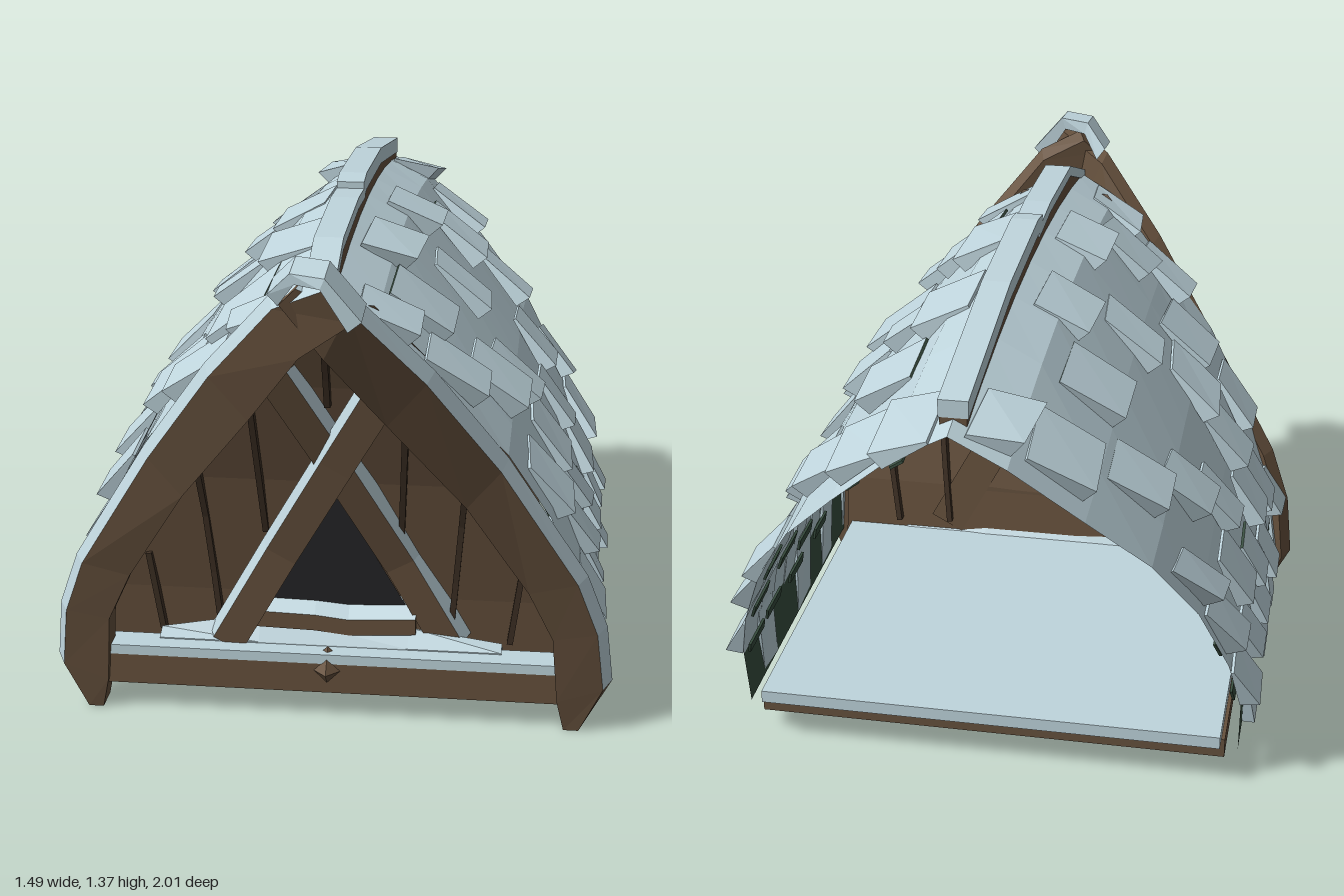
import * as THREE from 'three';

const mat = (name, color, side = THREE.FrontSide) => {
  const m = new THREE.MeshStandardMaterial({ color, side });
  m.name = name;
  return m;
};
const snow = mat('snow', 0xbfd5dd, THREE.DoubleSide);
const wood = mat('wood', 0x66513d, THREE.DoubleSide);
const gapWood = mat('dark wood', 0x3f3125);
const green = mat('dark green shingle', 0x384e3f, THREE.DoubleSide);
const dark = mat('dark opening', 0x29292b, THREE.DoubleSide);

const V = (x, y, z) => new THREE.Vector3(x, y, z);
const { lerp, clamp } = THREE.MathUtils;
let seed = 7;
const rand = () => (seed = (seed * 16807) % 2147483647) / 2147483647;

// Linear interpolation in a small table of [key, value...] rows
function at(table, k, col = 1) {
  let i = 1;
  while (i < table.length - 1 && k > table[i][0]) i++;
  const [a, b] = [table[i - 1], table[i]];
  return lerp(a[col], b[col], clamp((k - a[0]) / (b[0] - a[0]), 0, 1));
}

// Flat shaded mesh from polygons { p: [corners], m: material }
function polyMesh(name, polys) {
  const pos = [], mats = [...new Set(polys.map(q => q.m))];
  const geo = new THREE.BufferGeometry();
  mats.forEach((m, mi) => {
    const start = pos.length / 3;
    for (const { p } of polys.filter(q => q.m === m))
      for (let i = 1; i < p.length - 1; i++)
        for (const v of [p[0], p[i], p[i + 1]]) pos.push(v.x, v.y, v.z);
    geo.addGroup(start, pos.length / 3 - start, mi);
  });
  geo.setAttribute('position', new THREE.Float32BufferAttribute(pos, 3));
  geo.computeVertexNormals();
  const mesh = new THREE.Mesh(geo, mats);
  mesh.name = name;
  return mesh;
}

// Solid through loops of corners; sides[i] colours the face from corner i to i+1
function loft(name, loops, sides, cap) {
  const polys = [];
  const add = (p, m, c) => {
    const n = V(0, 0, 0).crossVectors(p[2].clone().sub(p[0]), p[3].clone().sub(p[1]));
    const mid = p.reduce((s, v) => s.add(v), V(0, 0, 0)).divideScalar(p.length);
    polys.push({ p: n.dot(mid.sub(c)) < 0 ? [...p].reverse() : p, m });
  };
  for (let k = 0; k < loops.length - 1; k++) {
    const [A, B] = [loops[k], loops[k + 1]], all = [...A, ...B];
    const c = all.reduce((s, v) => s.add(v), V(0, 0, 0)).divideScalar(all.length);
    A.forEach((_, i) => {
      const j = (i + 1) % A.length;
      add([A[i], A[j], B[j], B[i]], sides[i], c);
    });
    if (k === 0) add(A, cap, c);
    if (k === loops.length - 2) add(B, cap, c);
  }
  return polyMesh(name, polys);
}

// Box between two corners in one material
function bar(name, x0, x1, y0, y1, z0, z1, m) {
  const loop = x => [V(x, y0, z0), V(x, y0, z1), V(x, y1, z1), V(x, y1, z0)];
  return loft(name, [loop(x0), loop(x1)], [m, m, m, m], m);
}

// Roof cross-section from ridge to eave, and front and back edges by height
const profile = [[0, 0, 1.3], [1, 0.14, 1.22], [2, 0.31, 1.025], [3, 0.46, 0.835],
  [4, 0.57, 0.635], [5, 0.645, 0.43], [6, 0.678, 0.27], [7, 0.675, 0.1]];
const frontEdge = [[0.1, 0.5], [0.5, 0.54], [0.95, 0.68], [1.3, 0.82]];
const backEdge = [[0.1, -0.53], [0.25, -0.55], [0.65, -0.71], [0.9, -0.84], [1.17, -1]];

function roofPoint(s, t, f, lift = 0) {
  const x = at(profile, t, 1), y = at(profile, t, 2);
  const a = Math.max(0, t - 0.3), b = Math.min(7, t + 0.3);
  const dx = at(profile, b, 1) - at(profile, a, 1), dy = at(profile, b, 2) - at(profile, a, 2);
  const len = Math.hypot(dx, dy);
  const z = lerp(at(backEdge, y), at(frontEdge, y), f);
  return V(s * (x - dy / len * lift), y + dx / len * lift - 0.1 * z * z * y / 1.3, z);
}

// Slightly uneven snowy slope with a bare green band above the eave
function roofSide(s) {
  const polys = [], N = 8;
  const corner = (t, i) => roofPoint(s, t, i / N,
    t > 0 && t < 6 && i > 0 && i < N ? 0.008 * Math.sin(i * 12.9 + t * 7.3 + s) : 0);
  for (let t = 0; t < 7; t++)
    for (let i = 0; i < N; i++) {
      const p = [corner(t, i), corner(t + 1, i), corner(t + 1, i + 1), corner(t, i + 1)];
      polys.push({ p: s > 0 ? p : p.reverse(), m: t === 6 ? green : snow });
    }
  return polyMesh('roofSlope', polys);
}

// Tilted shingle, sunk into the slope above and standing proud at its lower edge
function shingle(s, t0, t1, f0, f1, lift, edge) {
  const skew = (rand() - 0.5) * 0.03;
  const loop = (t, h, k) => [roofPoint(s, t - skew * 4, f0 + k, 0), roofPoint(s, t + skew * 4, f1 + k, 0),
    roofPoint(s, t + skew * 4, f1 + k, h), roofPoint(s, t - skew * 4, f0 + k, h)];
  return loft('shingle', [loop(t0, 0.008, 0), loop(t1, lift, skew)], [snow, snow, snow, snow], edge);
}

// Green underside strip on the inside of the roof, below a shingle
function innerStrip(s, t, f0, f1) {
  const loop = k => [[f0, -0.012], [f1, -0.012], [f1, -0.019], [f0, -0.019]].map(([f, h]) => roofPoint(s, k, f, h));
  return loft('shingleUnderside', [loop(t - 0.22), loop(t)], [green, green, green, green], green);
}

// Lower edges as [z, y, width, 1 for a bare green edge]
const layout = [[0.4, 1.06, 0.2, 1], [0.62, 1.12, 0.15, 0], [0.2, 1.19, 0.25, 0], [-0.24, 1.16, 0.22, 0],
  [-0.43, 1.02, 0.2, 1], [0.54, 0.94, 0.16, 0], [-0.03, 0.99, 0.14, 0], [0.32, 0.84, 0.22, 0],
  [0.14, 0.79, 0.17, 0], [-0.58, 0.85, 0.17, 1], [-0.37, 0.72, 0.17, 0], [0.42, 0.61, 0.16, 0],
  [0.13, 0.62, 0.17, 0], [-0.2, 0.6, 0.13, 0], [-0.62, 0.6, 0.12, 0], [0.28, 0.42, 0.14, 0],
  [0.1, 0.47, 0.14, 0], [-0.05, 0.36, 0.13, 1], [-0.3, 0.45, 0.15, 0], [-0.57, 0.45, 0.13, 0],
  [0.42, 0.32, 0.15, 0], [-0.1, 0.275, 0.13, 0], [-0.34, 0.3, 0.13, 0], [0.16, 0.275, 0.12, 0],
  [-0.54, 0.29, 0.13, 0], [-0.78, 1.01, 0.2, 0], [-0.9, 1.15, 0.2, 0]];

function shingles(s) {
  const g = new THREE.Group();
  g.name = 'shingles';
  for (const [z, y, w, bare] of layout) {
    const y0 = y + 0.1 * z * z * y / 1.3 - 0.01, t = at(profile.map(p => [-p[2], p[0]]), -y0);
    const zb = at(backEdge, y0), span = at(frontEdge, y0) - zb;
    const f0 = clamp((z + (s < 0 ? 0.03 : 0) - w / 2 - zb) / span, 0, 1 - w / span), f1 = f0 + w / span;
    g.add(shingle(s, Math.max(0.2, t - 0.75), t, f0, f1, 0.04 + rand() * 0.015, bare ? green : snow));
    g.add(innerStrip(s, t, f0, f1));
  }
  // Long shingles hanging over the eave
  for (const [f0, f1] of [[0.12, 0.24], [0.47, 0.6], [0.73, 0.83], [0.95, 1]])
    g.add(shingle(s, 5.6, 6.95, f0, f1, 0.035, snow));
  return g;
}

// Curved board along the gable with a snowy bevel and a bare foot: [outer x, outer y, inner x, inner y, front z]
function bargeBoard(s) {
  const g = new THREE.Group();
  g.name = 'bargeBoard';
  const rows = [[0.66, 0, 0.62, 0, 0.55], [0.72, 0.13, 0.6, 0.09, 0.565], [0.7, 0.3, 0.585, 0.28, 0.59],
    [0.645, 0.45, 0.52, 0.42, 0.615], [0.445, 0.78, 0.36, 0.68, 0.69], [0.265, 1.04, 0.17, 0.93, 0.8],
    [0.09, 1.25, 0.03, 1.13, 0.91],
    s < 0 ? [-0.04, 1.32, -0.11, 1.245, 0.985] : [-0.03, 1.31, -0.07, 1.27, 0.94]];
  const loops = rows.map(([xo, yo, xi, yi, z]) => {
    const out = V(xo - xi, yo - yi, 0).setLength(yo > 0 ? 0.026 : 0.005);
    return [V(s * xo, yo, z), V(s * (xo + out.x), yo + out.y, z - 0.05), V(s * xo, yo, z - 0.09),
      V(s * xi, yi, z - 0.08), V(s * xi, yi, z)];
  });
  g.add(loft('boardFoot', loops.slice(0, 2), [wood, wood, wood, wood, wood], wood));
  g.add(loft('board', loops.slice(1), [snow, wood, wood, wood, wood], wood));
  return g;
}

// Snow lying over the crossed board ends
function apexCap() {
  const rows = [[-0.1, 1.3, 0.92], [-0.04, 1.365, 0.965], [0.045, 1.365, 1], [0.13, 1.265, 1]];
  return loft('apexSnow', rows.map(([x, y, z]) => [V(x, y, z - 0.11), V(x, y - 0.012, z),
    V(x * 0.75, y - 0.038, z), V(x * 0.75, y - 0.035, z - 0.11)]), [snow, snow, snow, snow], snow);
}

const wallZ = y => at(frontEdge, y) - 0.09;
const wallX = y => at(profile.map(p => [-p[2], p[1]]), -y) - 0.03;

// Straight board leaning with the gable wall; the bevelled edge on the left of travel is snowy
function brace(name, x0, y0, x1, y1, w, off, bevel, edge, face) {
  const n = V(y0 - y1, x1 - x0, 0).normalize();
  const loops = [0, 0.35, 0.7, 1].map(k => {
    const x = lerp(x0, x1, k), y = lerp(y0, y1, k), z = wallZ(y) + off;
    const p = (d, dz) => V(x + n.x * d, y + n.y * d, z - dz);
    return [p(w / 2, 0), p(w / 2 + bevel, 0.05), p(-w / 2, 0.05), p(-w / 2, 0)];
  });
  return loft(name, loops, [edge, face, face, face], face);
}

function gable() {
  const g = new THREE.Group();
  g.name = 'gable';
  const ys = [0.12, 0.31, 0.66, 0.95, 1.2], polys = [];
  for (let i = 0; i < 4; i++) {
    const [a, b] = [ys[i], ys[i + 1]];
    polys.push({ m: wood, p: [V(-wallX(a), a, wallZ(a)), V(wallX(a), a, wallZ(a)),
      V(wallX(b), b, wallZ(b)), V(-wallX(b), b, wallZ(b))] });
  }
  g.add(polyMesh('gableWall', polys));
  const front = wallZ(0.31) + 0.018;
  g.add(polyMesh('opening', [{ m: dark, p: [V(-0.2, 0.28, front), V(0.2, 0.28, front), V(0, 0.66, wallZ(0.66) + 0.018)] }]));
  // Gaps between the wall planks
  const gap = (...line) => g.add(brace('plankGap', ...line, 0.016, 0.025, 0, gapWood, gapWood));
  gap(0, 0.9, 0, 1.13);
  for (const s of [-1, 1])
    for (const [x0, y0, x1, y1] of [[0.18, 0.5, 0.2, 0.92], [0.31, 0.2, 0.35, 0.69], [0.47, 0.19, 0.5, 0.42]])
      gap(s * x0, y0, s * x1, y1);
  // Crossed braces
  g.add(brace('frontBrace', -0.285, 0.18, 0.15, 0.97, 0.085, 0.085, 0.018, snow, wood));
  g.add(brace('backBrace', -0.13, 0.99, 0.31, 0.18, 0.08, 0.045, 0.026, snow, wood));
  // Sill and snow lying in front of it
  const sill = (x, y) => [V(x, y - 0.07, 0.43), V(x, y - 0.07, 0.485), V(x, y - 0.025, 0.485), V(x, y + 0.022, 0.43)];
  g.add(loft('sill', [sill(-0.23, 0.3), sill(-0.05, 0.295), sill(0.04, 0.285), sill(0.22, 0.295)],
    [wood, wood, snow, wood], wood));
  const drift = (x, y) => [V(x, 0.15, 0.4), V(x, 0.15, 0.5), V(x, 0.19, 0.5), V(x, y, 0.46)];
  g.add(loft('snowDrift', [drift(-0.47, 0.205), drift(-0.2, 0.255), drift(0.2, 0.235), drift(0.45, 0.2)],
    [snow, snow, snow, snow], snow));
  return g;
}

// Bowed ridge pole: snow cap over a wooden pole, through [z, top y]
function ridge(path, cap) {
  const g = new THREE.Group();
  g.name = 'ridge';
  const slab = (name, top, bottom, w, m) => g.add(loft(name, path.map(([z, y]) =>
    [V(-w, y - bottom, z), V(w, y - bottom, z), V(w, y - top, z), V(-w, y - top, z)]), [m, m, m, m], m));
  slab('ridgeSnow', 0, cap, 0.037, snow);
  slab('ridgePole', cap, 0.09, 0.033, wood);
  return g;
}

export function createModel() {
  seed = 7;
  const model = new THREE.Group();
  model.name = 'roofDormer';
  for (const s of [-1, 1]) model.add(roofSide(s), shingles(s), bargeBoard(s));
  model.add(gable(), apexCap());
  model.add(ridge([[0.83, 1.225], [0.55, 1.33], [0.2, 1.345], [0.03, 1.335]], 0.03));
  model.add(ridge([[0.07, 1.355], [0, 1.365], [-0.4, 1.345], [-0.93, 1.26]], 0.045));
  // Floor and front beam
  model.add(bar('floor', -0.64, 0.64, 0.07, 0.125, -0.53, 0.5, wood));
  model.add(bar('floorSnow', -0.63, 0.63, 0.125, 0.16, -0.575, 0.49, snow));
  model.add(bar('frontBeam', -0.61, 0.61, 0.075, 0.16, 0.47, 0.55, wood));
  model.add(bar('beamSnow', -0.6, 0.6, 0.16, 0.187, 0.47, 0.552, snow));
  const knot = new THREE.Mesh(new THREE.OctahedronGeometry(0.06), wood);
  knot.name = 'beamKnot';
  knot.position.set(-0.01, 0.14, 0.525);
  model.add(knot);
  return model;
}
